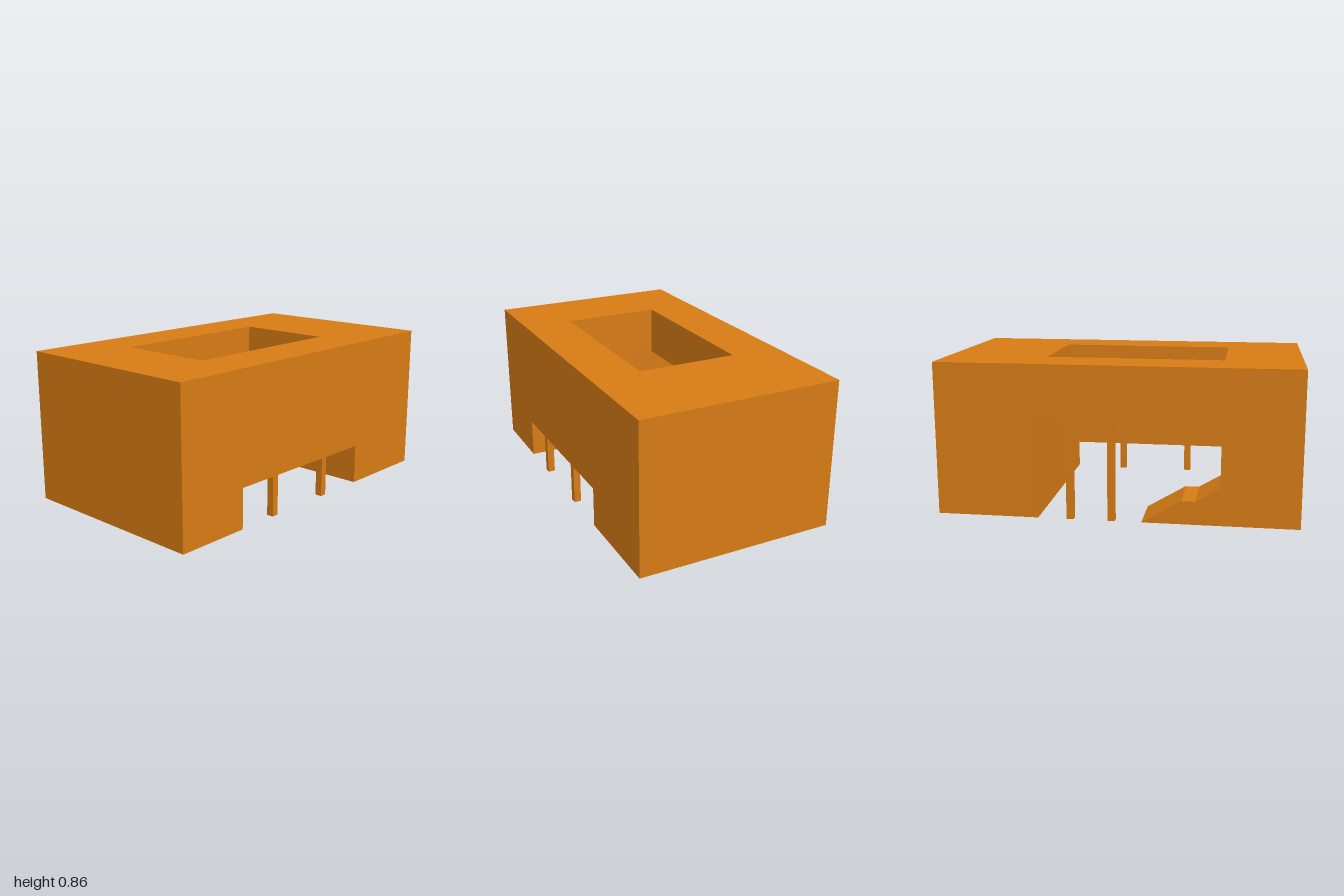
import * as THREE from 'three';

const U = 1 / 7; // building module: 8 wide, 6 high, 14 long

export function createModel() {
  const model = new THREE.Group();
  model.name = 'courtyardBuilding';
  const material = new THREE.MeshStandardMaterial({ color: 0xd67b14, flatShading: true });

  // Box given by its limits, in modules
  function block(name, [x0, x1], [y0, y1], [z0, z1]) {
    const geometry = new THREE.BoxGeometry((x1 - x0) * U, (y1 - y0) * U, (z1 - z0) * U);
    geometry.translate((x0 + x1) / 2 * U, (y0 + y1) / 2 * U, (z0 + z1) / 2 * U);
    const mesh = new THREE.Mesh(geometry, material);
    mesh.name = name;
    model.add(mesh);
  }

  // Solid end blocks, with the courtyard between them
  block('frontBlock', [-4, 4], [0, 6], [4, 7]);
  block('backBlock', [-4, 4], [0, 6], [-7, -3]);

  // Raised side wings: a tall passage on one side, a low one on the other
  block('tallPassageWing', [-4, -2], [4, 6], [-3, 4]);
  block('lowPassageWing', [2, 4], [1.6, 6], [-3, 4]);

  // Square posts flush with the outer walls
  const post = 0.28;
  for (const z of [-0.28, -1.88]) block('tallPost', [-4, -4 + post], [0, 4], [z, z + post]);
  for (const z of [2.03, -0.98]) block('lowPost', [4 - post, 4], [0, 1.6], [z, z + post]);

  // Ramp with a level landing, under the tall passage
  const profile = new THREE.Shape(
    [[1.03, 0], [4, 0], [4, 1.46], [3.08, 0.91], [2.55, 0.91]]
      .map(([z, y]) => new THREE.Vector2(z * U, y * U)));
  const rampGeometry = new THREE.ExtrudeGeometry(profile, { depth: 2 * U, bevelEnabled: false });
  rampGeometry.rotateY(-Math.PI / 2).translate(-2 * U, 0, 0);
  const ramp = new THREE.Mesh(rampGeometry, material);
  ramp.name = 'ramp';
  model.add(ramp);

  return model;
}
